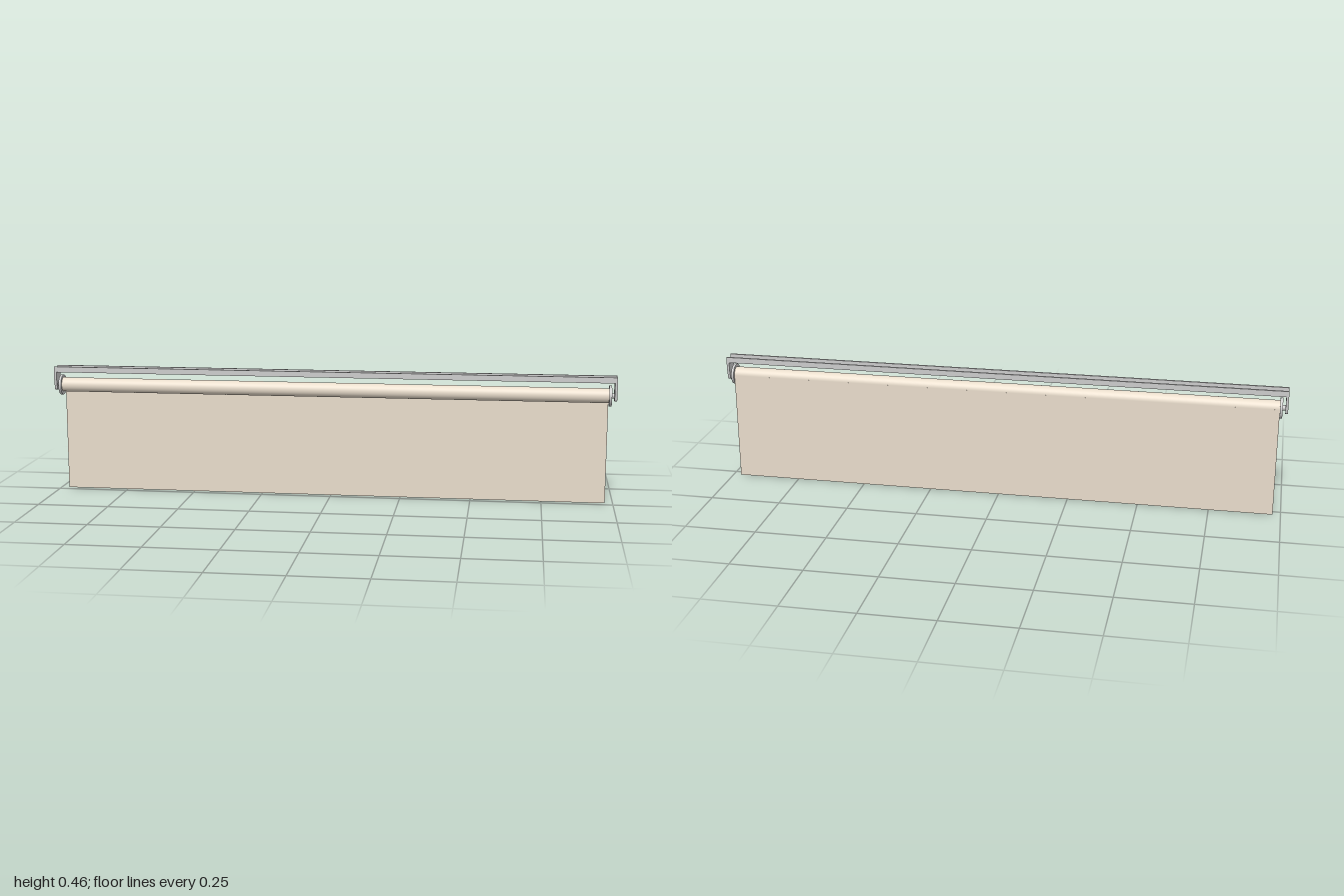
import * as THREE from 'three';

const grey = new THREE.MeshStandardMaterial({ color: 0xcccccc });
const cloth = new THREE.MeshStandardMaterial({ color: 0xe8dccb });
const AXIS_Y = 0.388;

function add(parent, name, geometry, material, x = 0, y = 0, z = 0) {
  const mesh = new THREE.Mesh(geometry, material);
  mesh.name = name;
  mesh.position.set(x, y, z);
  parent.add(mesh);
  return mesh;
}

// Extrudes a (z, y) profile along x, centred on x = 0
function extrudeX(shape, length) {
  const g = new THREE.ExtrudeGeometry(shape, { depth: length, bevelEnabled: false, curveSegments: 6 });
  return g.translate(0, 0, -length / 2).rotateY(-Math.PI / 2);
}

function rod(radius, length, segments = 48) {
  return new THREE.CylinderGeometry(radius, radius, length, segments).rotateZ(Math.PI / 2);
}

export function createModel() {
  const model = new THREE.Group();
  model.name = 'rollerBlind';

  // Top rail: channel open upwards
  const rail = new THREE.Shape([
    [-0.024, 0.435], [0.024, 0.435], [0.024, 0.455], [0.017, 0.455],
    [0.017, 0.441], [-0.017, 0.441], [-0.017, 0.455], [-0.024, 0.455],
  ].map(([z, y]) => new THREE.Vector2(z, y)));
  add(model, 'topRail', extrudeX(rail, 2), grey);

  // Tapered end bracket with rounded lower corners
  const plate = new THREE.Shape();
  plate.moveTo(-0.024, 0.436);
  plate.lineTo(-0.024, 0.41);
  plate.lineTo(-0.019, 0.379);
  plate.quadraticCurveTo(-0.017, 0.37, -0.011, 0.37);
  plate.lineTo(0.011, 0.37);
  plate.quadraticCurveTo(0.017, 0.37, 0.019, 0.379);
  plate.lineTo(0.024, 0.41);
  plate.lineTo(0.024, 0.436);
  const plateGeometry = extrudeX(plate, 0.009);
  const discGeometry = rod(0.036, 0.009);
  const pinGeometry = rod(0.009, 0.016, 24);

  for (const [side, s] of [['left', 1], ['right', -1]]) {
    const end = new THREE.Group();
    end.name = side + 'End';
    add(end, 'bracket', plateGeometry, grey, s * 0.9955);
    add(end, 'endDisc', discGeometry, grey, s * 0.977, AXIS_Y - 0.001);
    add(end, 'pin', pinGeometry, grey, s * 0.986, AXIS_Y);
    model.add(end);
  }

  // Rolled cloth and the sheet hanging from its back
  add(model, 'clothRoll', rod(0.0255, 1.945), cloth, 0, AXIS_Y);
  add(model, 'hangingCloth', new THREE.BoxGeometry(1.945, AXIS_Y, 0.0015), cloth, 0, AXIS_Y / 2, -0.0248);

  return model;
}
